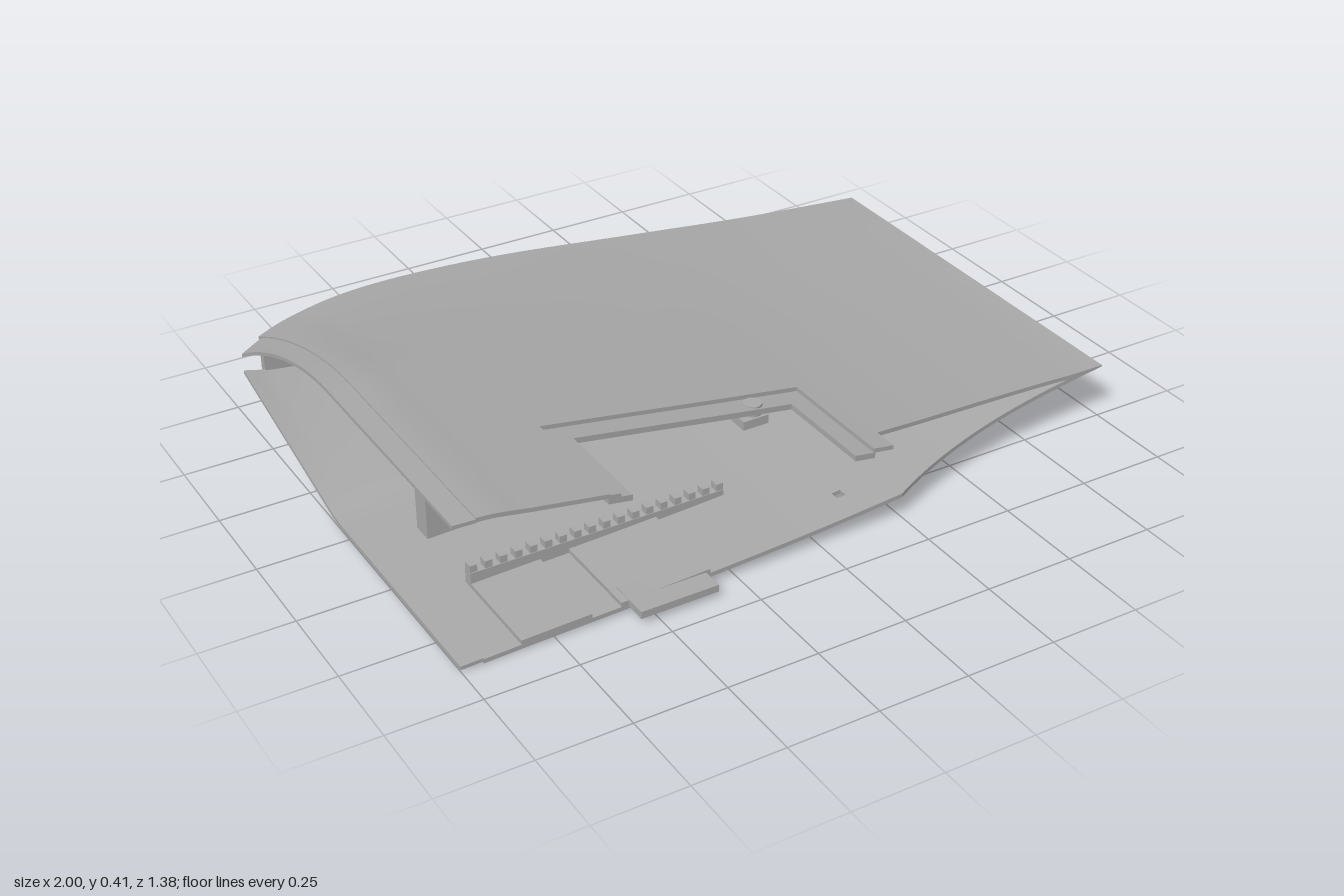
import * as THREE from 'three';

const BACK = -0.695, FRONT = 0.63, RIB = -0.67, SKIN = 0.012;

// Smooth curve through [x, y] points
function curve(pts) {
  const slope = i => {
    const a = pts[Math.max(i - 1, 0)], b = pts[Math.min(i + 1, pts.length - 1)];
    return (b[1] - a[1]) / (b[0] - a[0]);
  };
  return x => {
    let i = 0;
    while (i < pts.length - 2 && x > pts[i + 1][0]) i++;
    const [x0, y0] = pts[i], [x1, y1] = pts[i + 1];
    const h = x1 - x0, t = Math.min(1, Math.max(0, (x - x0) / h)), s = 1 - t;
    return y0 * (1 + 2 * t) * s * s + slope(i) * h * t * s * s
      + y1 * t * t * (3 - 2 * t) - slope(i + 1) * h * t * t * s;
  };
}

// Wing sections at the inner (root) and outer (tip) end
const rootTop = curve([[-1, 0.413], [-0.9, 0.407], [-0.8, 0.39], [-0.4, 0.326], [0, 0.262], [0.4, 0.204], [0.88, 0.163], [1, 0.16]]);
const rootLow = curve([[-1, 0], [-0.8, 0.007], [-0.4, 0.019], [0, 0.04], [0.4, 0.075], [0.7, 0.113], [1, 0.156]]);
const tipTop = curve([[-1, 0.2], [-0.94, 0.235], [-0.85, 0.268], [-0.7, 0.296], [-0.5, 0.302], [-0.2, 0.285], [0.2, 0.24], [0.6, 0.195], [1, 0.16]]);
const tipLow = curve([[-1, 0.15], [-0.94, 0.135], [-0.8, 0.118], [-0.5, 0.105], [-0.2, 0.107], [0.2, 0.12], [0.6, 0.138], [1, 0.156]]);
const blend = z => Math.min(1, Math.max(0, (-z - 0.08) / 0.615));
const top = (x, z) => THREE.MathUtils.lerp(rootTop(x), tipTop(x), blend(z) ** 1.75);
const low = (x, z) => THREE.MathUtils.lerp(rootLow(x), tipLow(x), blend(z));
const wall = (x, z) => Math.min(SKIN, (top(x, z) - low(x, z)) / 2);

// Curved front edges of the skins towards the trailing edge
const topEdge = x => 0.5 + 0.06 * ((1 - x) / 0.785) ** 2;
const lowEdge = x => 0.5 + 0.13 * ((1 - x) / 0.75) ** 2.8;

// Slab between two height functions; z limits may depend on x
function slab(x0, x1, z0, z1, upper, lower, nx = 20, nz = 32) {
  const g = new THREE.BoxGeometry(1, 1, 1, nx, 1, nz);
  const p = g.attributes.position;
  for (let i = 0; i < p.count; i++) {
    const x = THREE.MathUtils.lerp(x0, x1, p.getX(i) + 0.5);
    const end = typeof z1 === 'function' ? z1(x) : z1;
    const z = THREE.MathUtils.lerp(z0, end, p.getZ(i) + 0.5);
    p.setXYZ(i, x, (p.getY(i) > 0 ? upper : lower)(x, z), z);
  }
  g.computeVertexNormals();
  return g;
}

function circle(x, y, r) {
  return new THREE.Path().absarc(x, y, r, 0, Math.PI * 2, true);
}

// Upright plate following the section between x0 and x1
function bulkhead(x0, x1, z, depth, holes, inset) {
  const n = 40, pts = [];
  const at = i => x0 + (x1 - x0) * i / n;
  for (let i = 0; i <= n; i++) pts.push(new THREE.Vector2(at(i), low(at(i), z) + inset));
  for (let i = n; i >= 0; i--) pts.push(new THREE.Vector2(at(i), top(at(i), z) - inset));
  const s = new THREE.Shape(pts);
  for (const h of holes) s.holes.push(circle(...h));
  return new THREE.ExtrudeGeometry(s, { depth, bevelEnabled: false, curveSegments: 24 }).translate(0, 0, z);
}

export function createModel() {
  const model = new THREE.Group();
  const grey = new THREE.MeshStandardMaterial({ color: 0xa8a8a8 });
  grey.name = 'plain grey';
  const add = (name, geometry) => {
    const m = new THREE.Mesh(geometry, grey);
    m.name = name;
    model.add(m);
    return m;
  };
  const box = (name, x0, x1, y0, y1, z0, z1) =>
    add(name, new THREE.BoxGeometry(x1 - x0, y1 - y0, z1 - z0))
      .position.set((x0 + x1) / 2, (y0 + y1) / 2, (z0 + z1) / 2);

  // Upper skin, leaving the access bay open
  const topIn = (x, z) => top(x, z) - wall(x, z);
  [[-0.94, -0.595, FRONT], [-0.595, 0.155, 0.28], [0.155, 0.215, FRONT], [0.215, 1, topEdge]]
    .forEach(([a, b, z]) => add('upperSkin', slab(a, b, BACK, z, top, topIn)));

  // Lower skin, with a small drain hole
  const lowIn = (x, z) => low(x, z) + wall(x, z);
  [[-0.94, 0.107, BACK, FRONT], [0.107, 0.133, BACK, 0.522], [0.107, 0.133, 0.548, FRONT],
    [0.133, 0.25, BACK, FRONT], [0.25, 1, BACK, lowEdge]]
    .forEach(([a, b, z0, z1]) => add('lowerSkin', slab(a, b, z0, z1, lowIn, low)));

  // Recessed joint lips along the open leading side
  add('upperLip', slab(-1, -0.94, RIB, FRONT, (x, z) => top(x, z) - 0.004, (x, z) => top(x, z) - 0.014, 4));
  add('lowerLip', slab(-1, -0.94, RIB, FRONT, (x, z) => low(x, z) + 0.016, (x, z) => low(x, z) + 0.006, 4));

  // End rib with lightening holes
  add('endRib', bulkhead(-0.94, 0.97, BACK, BACK < RIB ? RIB - BACK : 0, [
    [0.4, 0.175, 0.036], [0.18, 0.18, 0.014], [-0.11, 0.195, 0.055], [-0.53, 0.2, 0.075], [-0.79, 0.19, 0.05],
  ], 0.002));
  box('ribHoleBacking', -0.18, -0.04, 0.13, 0.26, RIB, RIB + 0.01);

  // Ledge around the access bay
  const ledgeTop = (x, z) => top(x, z) - SKIN;
  const ledgeLow = (x, z) => top(x, z) - 0.028;
  [[-0.595, 0.155, 0.27, 0.34], [-0.6, -0.535, 0.34, FRONT], [0.1, 0.16, 0.34, FRONT]]
    .forEach(([a, b, z0, z1]) => add('bayLedge', slab(a, b, z0, z1, ledgeTop, ledgeLow, 10, 6)));
  add('bayStop', slab(-0.595, -0.565, 0.51, FRONT, (x, z) => top(x, z) - 0.003, ledgeTop, 2, 2));
  box('ledgeClip', -0.045, 0.03, 0.2, 0.225, 0.28, 0.34);
  add('ledgePin', new THREE.CylinderGeometry(0.025, 0.025, 0.03, 20)).position.set(0, 0.24, 0.31);

  // Mounting bulkhead and its bearing ring
  add('mountBulkhead', bulkhead(-0.84, -0.53, 0.06, 0.06, [[-0.69, 0.16, 0.055]], 0.004));
  const ring = new THREE.Shape().absarc(-0.69, 0.16, 0.076, 0, Math.PI * 2, false);
  ring.holes.push(circle(-0.69, 0.16, 0.055));
  add('bearingRing', new THREE.ExtrudeGeometry(ring, { depth: 0.05, bevelEnabled: false, curveSegments: 24 }))
    .position.z = 0.115;

  // Toothed rail on the floor
  add('railBase', slab(-0.84, -0.12, 0.335, 0.365, () => 0.06, low, 12, 1));
  for (let i = 0; i < 18; i++) {
    const x = -0.84 + i * 0.0412;
    box('railTooth', x, x + 0.02, 0.058, 0.08, 0.337, 0.363);
  }

  // Floor pads and the projecting tab
  [[-0.84, -0.65], [-0.57, -0.32]].forEach(([a, b]) =>
    add('floorPad', slab(a, b, 0.365, FRONT, (x, z) => low(x, z) + 0.024, lowIn, 4, 2)));
  box('joiningTab', -0.55, -0.333, 0.02, 0.04, 0.57, 0.69);

  return model;
}
